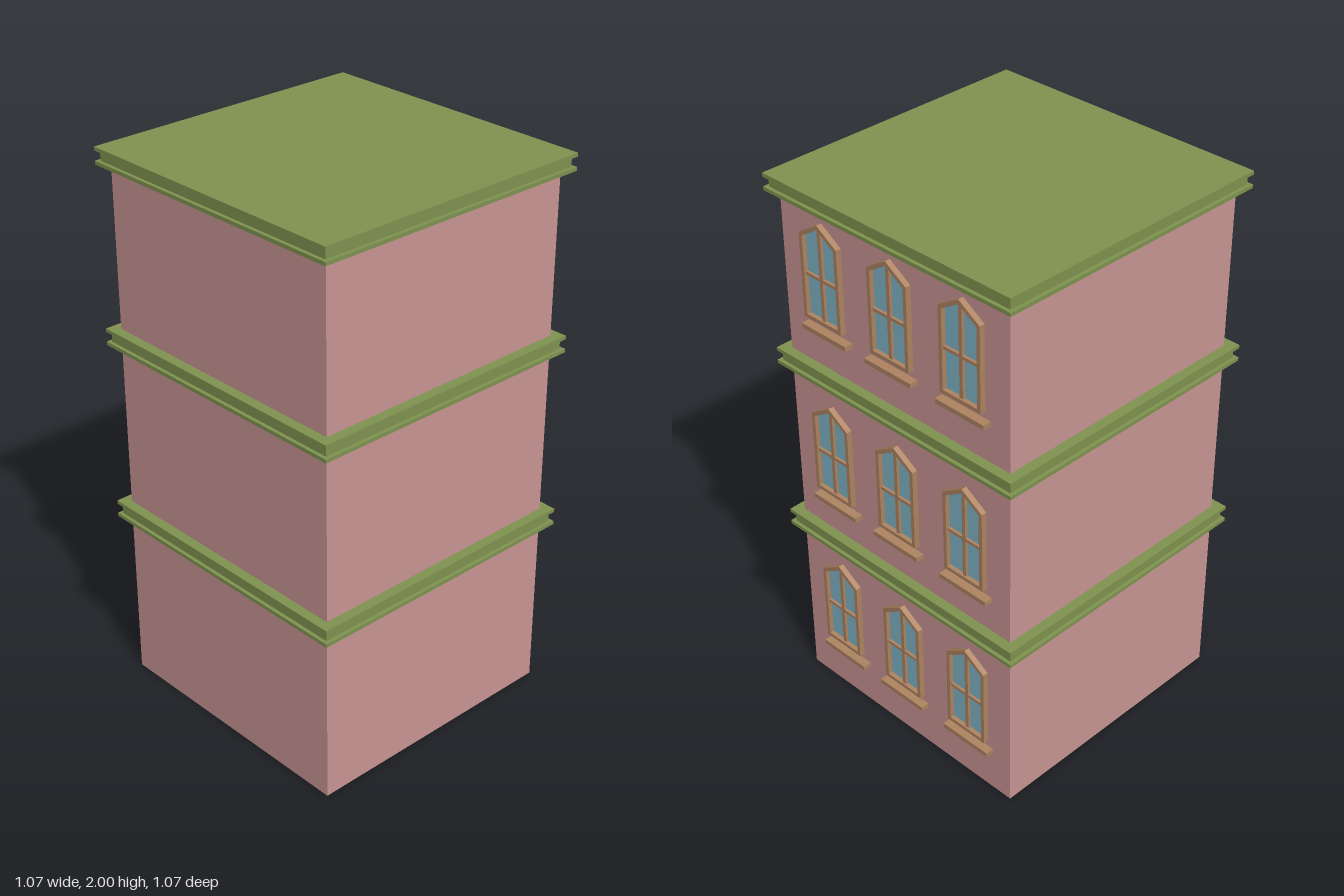
import * as THREE from 'three';

const paint = (color) => new THREE.MeshStandardMaterial({ color });
const wallMat = paint(0xc99694);
const trimMat = paint(0x7f9450);
const woodMat = paint(0xaf8461);
const glassMat = paint(0x7fb6c8);

function box(name, mat, w, h, d, x, y, z) {
  const mesh = new THREE.Mesh(new THREE.BoxGeometry(w, h, d), mat);
  mesh.name = name;
  mesh.position.set(x, y, z);
  return mesh;
}

// Pentagon outline of a pointed window: half width, bottom, shoulder, apex
function pointedOutline(w, bottom, shoulder, apex) {
  return [[-w, bottom], [w, bottom], [w, shoulder], [0, apex], [-w, shoulder]]
    .map(([x, y]) => new THREE.Vector2(x, y));
}

function extrude(name, mat, shape, depth) {
  const geo = new THREE.ExtrudeGeometry(shape, { depth, bevelEnabled: false });
  const mesh = new THREE.Mesh(geo, mat);
  mesh.name = name;
  return mesh;
}

// Window facing +z, bottom of the frame at y = 0
function createWindow() {
  const g = new THREE.Group();
  g.name = 'window';
  const inner = pointedOutline(0.073, 0.013, 0.296, 0.341);
  const frame = new THREE.Shape(pointedOutline(0.087, 0, 0.304, 0.358));
  frame.holes.push(new THREE.Path(inner));
  g.add(extrude('windowFrame', woodMat, frame, 0.02));
  g.add(extrude('windowGlass', glassMat, new THREE.Shape(inner), 0.004));
  g.add(box('verticalMuntin', woodMat, 0.014, 0.325, 0.014, 0, 0.1755, 0.007));
  g.add(box('horizontalMuntin', woodMat, 0.146, 0.011, 0.014, 0, 0.16, 0.007));
  return g;
}

// Ledge running round the building: recessed band between two thin plates
function createCornice(bottom, top) {
  const g = new THREE.Group();
  g.name = 'cornice';
  const plate = 0.013;
  g.add(box('lowerPlate', trimMat, 1.072, plate, 1.072, 0, bottom + plate / 2, 0));
  g.add(box('upperPlate', trimMat, 1.072, plate, 1.072, 0, top - plate / 2, 0));
  g.add(box('band', trimMat, 1.046, top - bottom - 2 * plate, 1.046, 0, (top + bottom) / 2, 0));
  return g;
}

export function createModel() {
  const building = new THREE.Group();
  building.name = 'building';
  building.add(box('walls', wallMat, 1, 1.96, 1, 0, 0.98, 0));

  for (const [bottom, top] of [[0.637, 0.7], [1.304, 1.365], [1.94, 2]]) {
    building.add(createCornice(bottom, top));
  }

  // Three windows with sills on each floor of the +x wall
  for (const y of [0.201, 0.861, 1.538]) {
    for (const [z, sillZ] of [[0.31, 0.297], [0, 0], [-0.31, -0.316]]) {
      const win = createWindow();
      win.rotation.y = Math.PI / 2;
      win.position.set(0.5, y, z);
      building.add(win);
      building.add(box('windowSill', woodMat, 0.031, 0.017, 0.208, 0.5155, y - 0.032, sillZ));
    }
  }
  return building;
}
